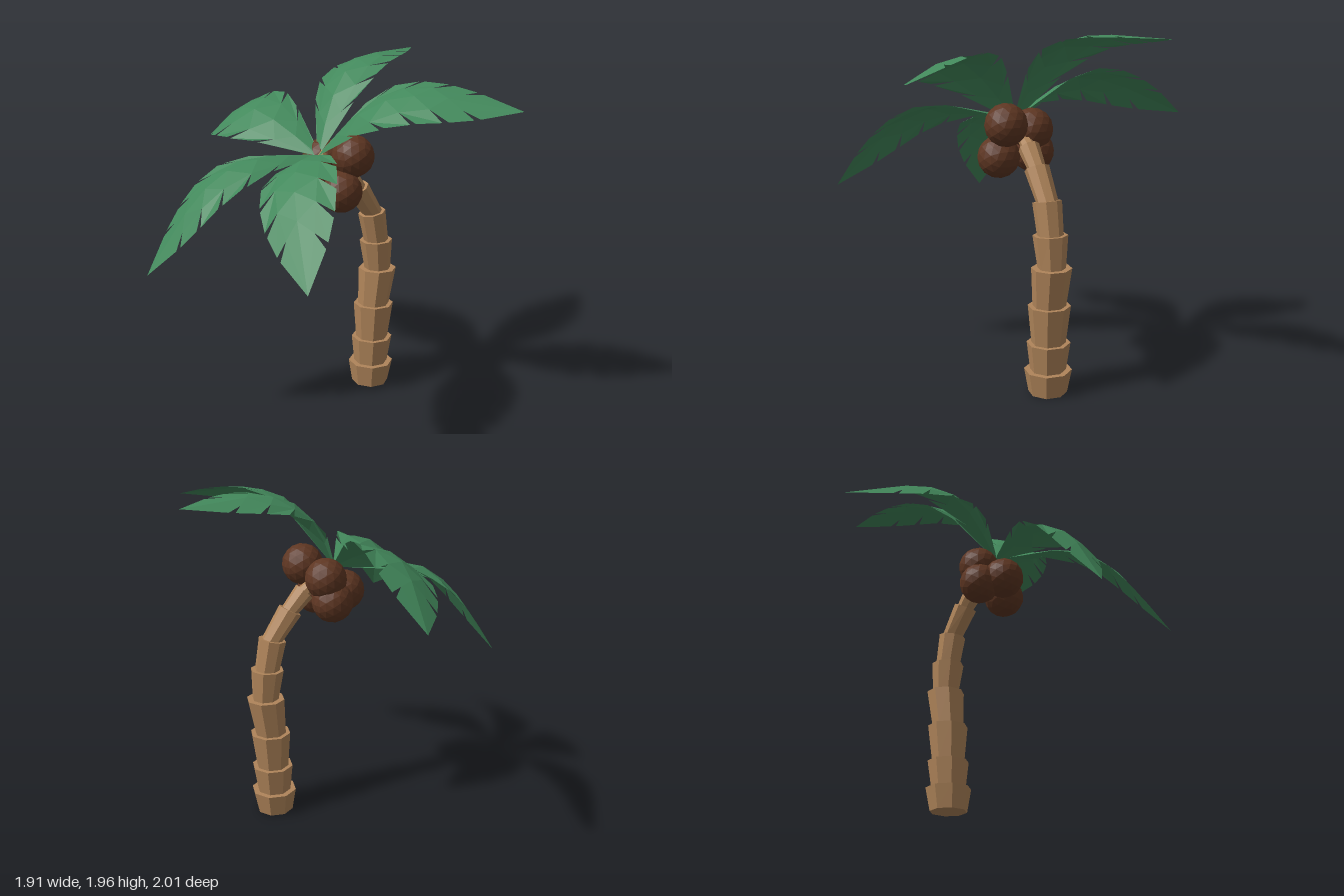
import * as THREE from 'three';

const bark = new THREE.MeshStandardMaterial({ color: 0xb0855a, flatShading: true });
bark.name = 'bark';
const husk = new THREE.MeshStandardMaterial({ color: 0x5e3622, flatShading: true });
husk.name = 'coconut brown';
const leaf = new THREE.MeshStandardMaterial({ color: 0x43895c, flatShading: true, side: THREE.DoubleSide });
leaf.name = 'leaf green';

// Piecewise linear lookup in a list of [position, value]
function lookup(table, s) {
  for (let i = 1; i < table.length; i++) {
    const [a, va] = table[i - 1], [b, vb] = table[i];
    if (s <= b) return va + (vb - va) * (s - a) / (b - a);
  }
  return table[table.length - 1][1];
}

// Frond: arched midrib, folded blade, leaflets swept towards the tip
const ARCH = [[0, 0], [0.17, 0.11], [0.35, 0.2], [0.52, 0.23], [0.7, 0.19], [0.9, 0.09], [1.13, -0.04]];
const WIDTH = [[0, 0.01], [0.28, 0.15], [0.45, 0.218], [0.62, 0.22], [0.77, 0.195], [0.9, 0.145], [0.98, 0.1], [1.13, 0]];
const ROOTS = [0, 0.15, 0.31, 0.48, 0.63, 0.79, 1.13];
const EDGES = [0.02, 0.29, 0.46, 0.62, 0.77, 0.91, 1.13];

function frondGeometry() {
  const pos = [];
  for (const side of [1, -1]) {
    const point = (s, v) => [s, lookup(ARCH, s) - 0.18 * v, side * v];
    const tri = (a, b, c) => pos.push(...(side > 0 ? [a, b, c] : [a, c, b]).flat());
    const edge = (s) => point(s, lookup(WIDTH, s));
    // inner end of the cut between two leaflets
    const notch = (i) => {
      const f = 0.55, s = ROOTS[i] + (EDGES[i] - ROOTS[i]) * f;
      return point(s, lookup(WIDTH, EDGES[i]) * f);
    };
    for (let i = 0; i < ROOTS.length - 1; i++) {
      const a = point(ROOTS[i], 0), b = point(ROOTS[i + 1], 0);
      const n0 = notch(i), n1 = notch(i + 1);
      const near = edge(EDGES[i] + 0.028), far = edge(EDGES[i + 1]);
      tri(a, n0, b);
      tri(n0, n1, b);
      tri(n0, near, far);
      tri(n0, far, n1);
    }
  }
  const g = new THREE.BufferGeometry();
  g.setAttribute('position', new THREE.Float32BufferAttribute(pos, 3));
  g.computeVertexNormals();
  return g;
}

// Trunk segment: a unit cylinder whose ends are moved onto two tilted rings
function segmentGeometry(low, high, lowRadius, highRadius) {
  const g = new THREE.CylinderGeometry(1, 1, 1, 8);
  g.rotateY(0.2);
  const p = g.attributes.position;
  for (let i = 0; i < p.count; i++) {
    const top = p.getY(i) > 0;
    const ring = top ? high : low, r = top ? highRadius : lowRadius;
    const x = p.getX(i) * r;
    p.setXYZ(i, ring.x + x * Math.cos(ring.tilt), ring.y + x * Math.sin(ring.tilt), 0.128 + p.getZ(i) * r);
  }
  g.computeVertexNormals();
  return g;
}

export function createModel() {
  const model = new THREE.Group();
  model.name = 'palmTree';

  // Trunk: stacked segments that flare upwards
  const trunk = new THREE.Group();
  trunk.name = 'trunk';
  // x, y, tilt, radius where the next segment starts, radius where the last one ends
  const rings = [
    [0.393, 0, 0, 0.108, 0], [0.396, 0.135, 0, 0.1, 0.133], [0.401, 0.295, 0, 0.095, 0.121],
    [0.408, 0.51, 0, 0.092, 0.118], [0.432, 0.73, 0, 0.077, 0.111], [0.416, 0.908, 0.05, 0.072, 0.096],
    [0.38, 1.085, 0.2, 0.06, 0.08], [0.268, 1.245, 0.5, 0.05, 0.069], [0.18, 1.345, 0.75, 0.04, 0.06],
    [0, 1.475, 0.9, 0, 0.03],
  ].map(([x, y, tilt, start, end]) => ({ x, y, tilt, start, end }));
  for (let i = 0; i < rings.length - 1; i++) {
    const [a, b] = [rings[i], rings[i + 1]];
    const seg = new THREE.Mesh(segmentGeometry(a, b, a.start, b.end), bark);
    seg.name = 'trunkSegment';
    trunk.add(seg);
  }
  model.add(trunk);

  // Coconuts clustered under the crown
  const nut = new THREE.IcosahedronGeometry(0.119, 2);
  const nuts = [[0.142, 1.47, 0.246], [0.08, 1.425, 0.053], [0.06, 1.285, 0.25], [-0.06, 1.325, 0.12], [0.05, 1.295, 0.03]];
  for (const p of nuts) {
    const m = new THREE.Mesh(nut, husk);
    m.name = 'coconut';
    m.position.set(...p);
    model.add(m);
  }

  // Crown of five fronds, tilted with the bend of the trunk
  const crown = new THREE.Group();
  crown.name = 'crown';
  crown.position.set(0, 1.47, 0.12);
  crown.rotation.z = THREE.MathUtils.degToRad(29);
  const blade = frondGeometry();
  // heading in degrees and relative breadth
  for (const [angle, breadth] of [[-90, 1.04], [-18, 0.88], [51.5, 0.94], [133, 0.94], [192, 0.87]]) {
    const f = new THREE.Mesh(blade, leaf);
    f.name = 'frond';
    f.rotation.y = -THREE.MathUtils.degToRad(angle);
    f.scale.z = breadth;
    crown.add(f);
  }
  model.add(crown);
  return model;
}
